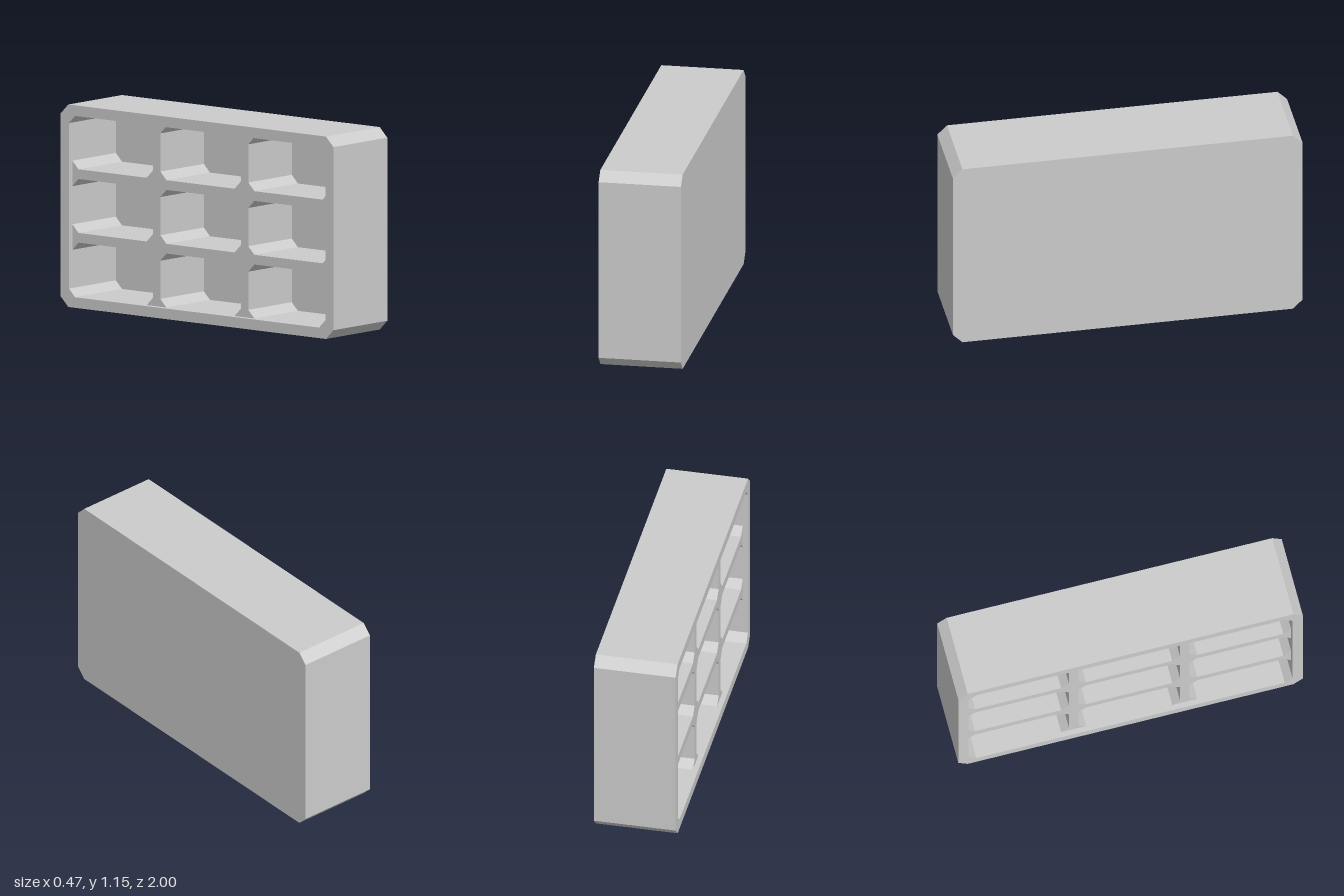
import * as THREE from 'three';

const LENGTH = 2, HEIGHT = 1.15, HALF_DEPTH = 0.235;
const WALL = 0.06, DIVIDER = 0.055, RECESS = 0.03, FLOOR = 0.06;
const CHAMFER = 0.055, INNER_CHAMFER = 0.045;

// Counter-clockwise rectangle with cut corners, centred on (u, v)
function octagon(u, v, w, h, c) {
  const a = w / 2, b = h / 2;
  return [
    [c - a, -b], [a - c, -b], [a, c - b], [a, b - c],
    [a - c, b], [c - a, b], [-a, b - c], [-a, c - b],
  ].map(([x, y]) => new THREE.Vector2(u + x, v + y));
}

// Flat-faced walls along an outline; they face inward when x0 > x1
function walls(points, x0, x1) {
  const positions = [];
  points.forEach((p, i) => {
    const q = points[(i + 1) % points.length];
    const a = [x0, p.y, -p.x], b = [x0, q.y, -q.x];
    const c = [x1, q.y, -q.x], d = [x1, p.y, -p.x];
    positions.push(...a, ...b, ...c, ...a, ...c, ...d);
  });
  const geometry = new THREE.BufferGeometry();
  geometry.setAttribute('position', new THREE.Float32BufferAttribute(positions, 3));
  geometry.computeVertexNormals();
  return geometry;
}

// Flat cap at a given x, facing +x (side = 1) or -x (side = -1)
function cap(points, holes, x, side) {
  const shape = new THREE.Shape(points);
  shape.holes = holes.map((h) => new THREE.Path(h));
  return new THREE.ShapeGeometry(shape).rotateY(side * Math.PI / 2).translate(x, 0, 0);
}

export function createModel() {
  const model = new THREE.Group();
  const material = new THREE.MeshStandardMaterial({ color: 0xcccccc });
  const add = (name, geometry, parent = model) => {
    const mesh = new THREE.Mesh(geometry, material);
    mesh.name = name;
    parent.add(mesh);
  };

  const midY = HEIGHT / 2;
  const innerW = LENGTH - 2 * WALL, innerH = HEIGHT - 2 * WALL;
  const outer = octagon(0, midY, LENGTH, HEIGHT, CHAMFER);
  const inner = octagon(0, midY, innerW, innerH, INNER_CHAMFER);
  const gridX = -HALF_DEPTH + RECESS, floorX = HALF_DEPTH - FLOOR;

  // Outer case, open towards -x
  add('caseSides', walls(outer, -HALF_DEPTH, HALF_DEPTH));
  add('closedPanel', cap(outer, [], HALF_DEPTH, 1));
  add('openRim', cap(outer, [inner], -HALF_DEPTH, -1));
  add('rimInnerWalls', walls(inner, gridX, -HALF_DEPTH));

  // Three by three compartments
  const cellW = (innerW - 2 * DIVIDER) / 3, cellH = (innerH - 2 * DIVIDER) / 3;
  const cells = [];
  for (let row = -1; row <= 1; row++) {
    for (let col = -1; col <= 1; col++) {
      cells.push(octagon(col * (cellW + DIVIDER), midY + row * (cellH + DIVIDER),
        cellW, cellH, INNER_CHAMFER));
    }
  }

  // Recessed divider faces, tucked slightly into the case walls
  const tucked = octagon(0, midY, innerW + 0.01, innerH + 0.01, INNER_CHAMFER);
  add('dividerFaces', cap(tucked, cells, gridX, -1));

  cells.forEach((cell, i) => {
    const compartment = new THREE.Group();
    compartment.name = `compartment${i + 1}`;
    add('compartmentWalls', walls(cell, floorX, gridX), compartment);
    add('compartmentFloor', cap(cell, [], floorX, -1), compartment);
    model.add(compartment);
  });

  return model;
}
